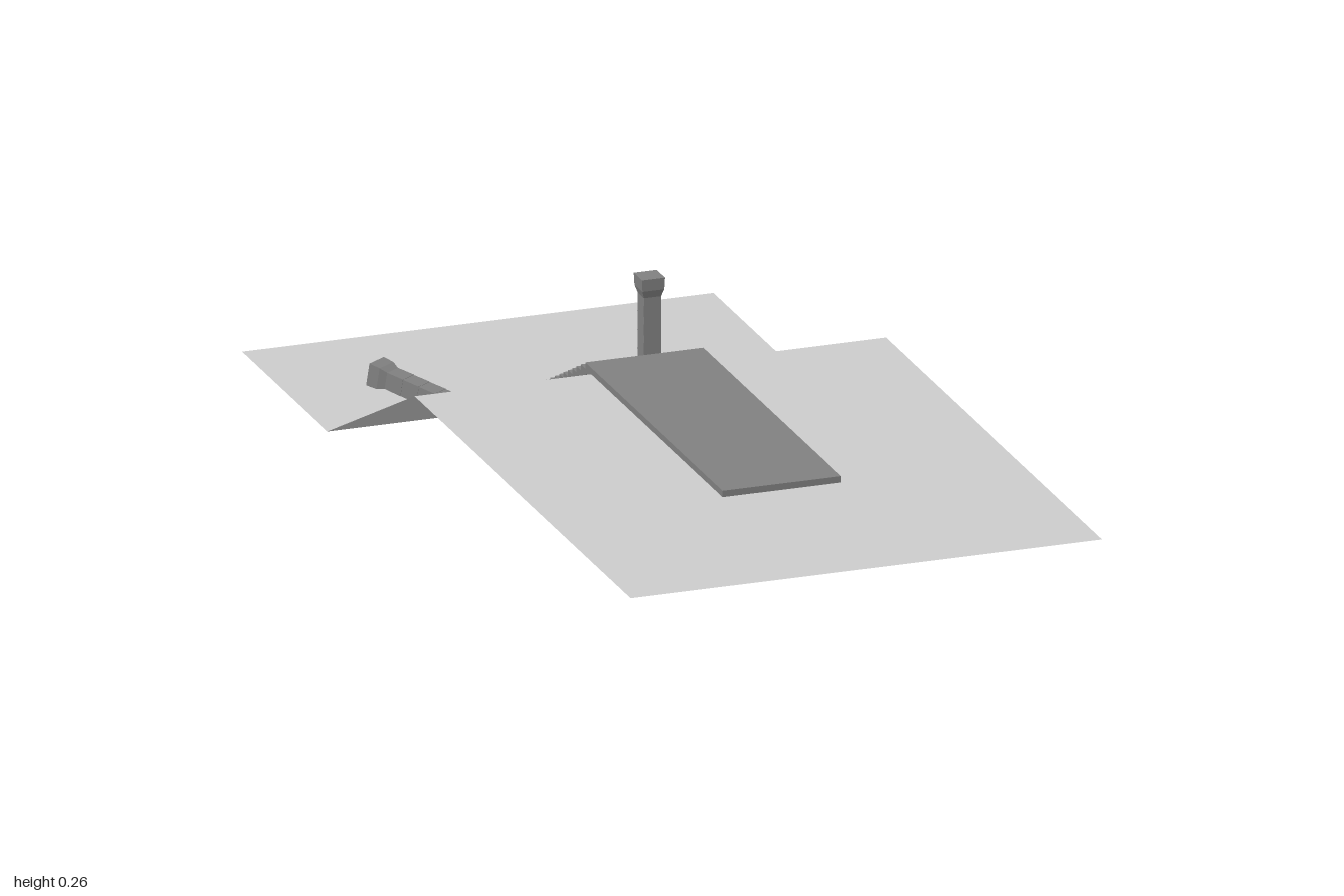
import * as THREE from 'three';

const ground = new THREE.MeshStandardMaterial({ color: 0xcccccc, side: THREE.DoubleSide });
ground.name = 'pale grey ground';
const stone = new THREE.MeshStandardMaterial({ color: 0x808080 });
stone.name = 'mid grey stone';

function box(name, w, h, d, x, y, z) {
  const mesh = new THREE.Mesh(new THREE.BoxGeometry(w, h, d), stone);
  mesh.name = name;
  mesh.position.set(x, y, z);
  return mesh;
}

// Thin sheet swept across x from a (z, y) section, one flat facet per span
function makeTerrain() {
  const section = [[1, 0.247], [-0.112, 0.247], [-0.56, 0.028], [-1, 0.028]];
  const half = 0.443;
  const points = [];
  for (let i = 0; i < section.length - 1; i++) {
    const [z0, y0] = section[i];
    const [z1, y1] = section[i + 1];
    points.push(-half, y0, z0, half, y0, z0, half, y1, z1);
    points.push(-half, y0, z0, half, y1, z1, -half, y1, z1);
  }
  const geometry = new THREE.BufferGeometry();
  geometry.setAttribute('position', new THREE.Float32BufferAttribute(points, 3));
  geometry.computeVertexNormals();
  const mesh = new THREE.Mesh(geometry, ground);
  mesh.name = 'terrain';
  return mesh;
}

// Square block with different half widths at its bottom and top
function pillarBlock(name, y0, y1, half0, half1) {
  const indexed = new THREE.CylinderGeometry(half1 * Math.SQRT2, half0 * Math.SQRT2, y1 - y0, 4);
  indexed.rotateY(Math.PI / 4);
  const geometry = indexed.toNonIndexed();
  geometry.computeVertexNormals();
  const mesh = new THREE.Mesh(geometry, stone);
  mesh.name = name;
  mesh.position.y = (y0 + y1) / 2;
  return mesh;
}

// Pillar standing on its own origin: flared base, stacked shaft, flared cap
function makePillar(name) {
  const pillar = new THREE.Group();
  pillar.name = name;
  pillar.add(pillarBlock('base', 0, 0.025, 0.022, 0.021));
  pillar.add(pillarBlock('baseFlare', 0.025, 0.05, 0.021, 0.016));
  const count = 4;
  const step = (0.19 - 0.05) / count;
  for (let i = 0; i < count; i++) {
    const y = 0.05 + i * step;
    pillar.add(pillarBlock('shaftBlock', y, y + step, 0.0165, 0.016));
  }
  pillar.add(pillarBlock('capFlare', 0.19, 0.204, 0.016, 0.0205));
  pillar.add(pillarBlock('cap', 0.204, 0.226, 0.0205, 0.0215));
  return pillar;
}

export function createModel() {
  const model = new THREE.Group();
  model.name = 'hillsideStairway';
  model.add(makeTerrain());

  // Long walkway on the upper level
  model.add(box('walkway', 0.222, 0.019, 0.707, 0, 0.2495, 0.2115));

  // Stairs down the slope
  const stairs = new THREE.Group();
  stairs.name = 'stairs';
  const run = 0.0223, drop = 0.0112;
  for (let i = 0; i < 19; i++) {
    const z = -0.142 - (i + 0.5) * run;
    stairs.add(box('step', 0.222, 0.019, run + 0.003, 0, 0.2495 - (i + 1) * drop, z + 0.0015));
  }
  model.add(stairs);

  // Upright pillar at the foot of the stairs
  const upright = makePillar('uprightPillar');
  upright.position.set(0.162, 0.02, -0.561);
  model.add(upright);

  // Toppled pillar on the other side
  const fallen = makePillar('fallenPillar');
  fallen.rotation.order = 'YXZ';
  fallen.rotation.set(-(Math.PI / 2 - 0.169), 0.59, 0);
  fallen.position.set(-0.163, 0.022, -0.557);
  model.add(fallen);

  return model;
}
